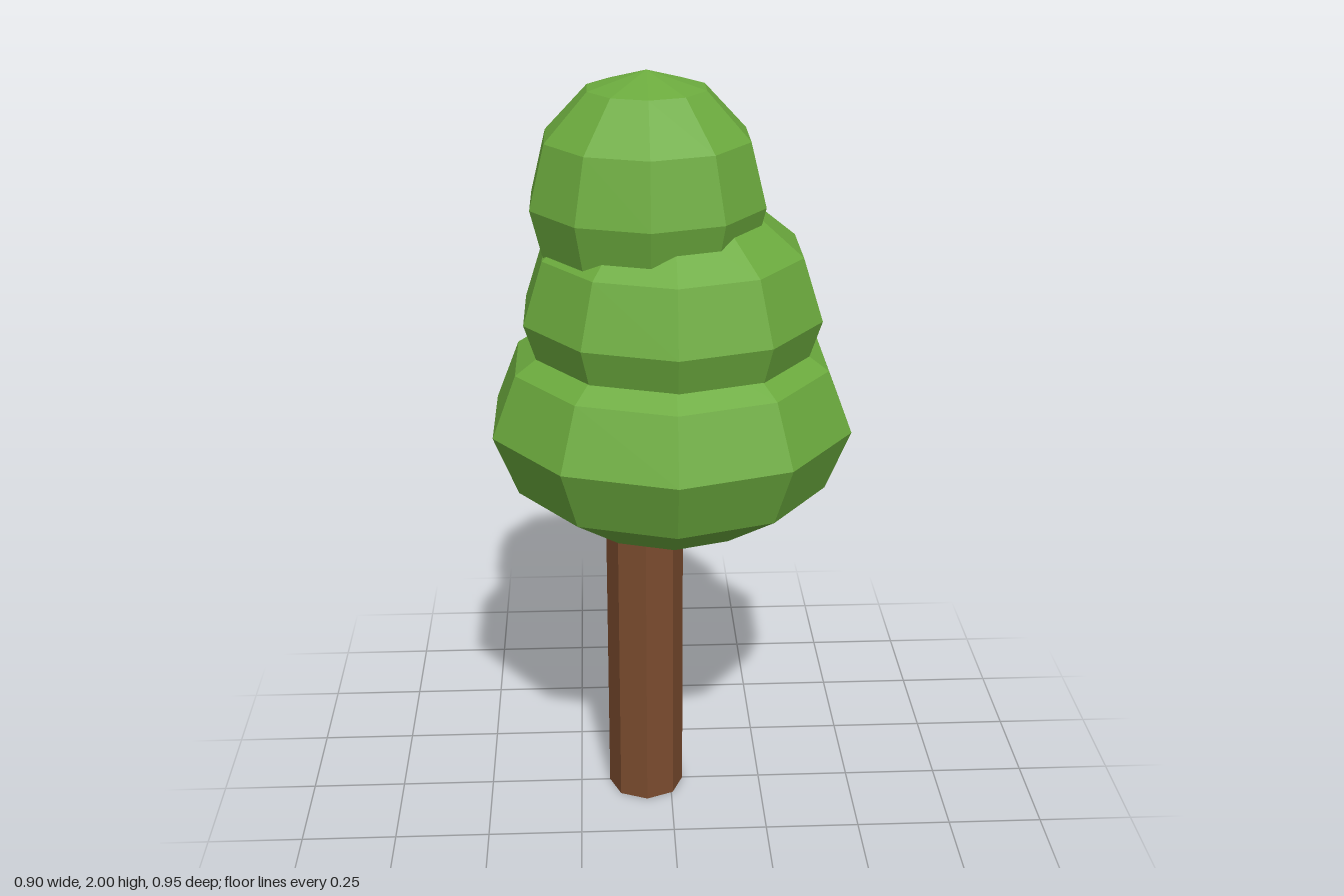
import * as THREE from 'three';

export function createModel() {
  const tree = new THREE.Group();
  tree.name = 'tree';
  const bark = new THREE.MeshStandardMaterial({ color: 0x7a4b2e, flatShading: true });
  const leaf = new THREE.MeshStandardMaterial({ color: 0x6cab3e, flatShading: true });

  // Eight-sided trunk, its top buried in the lowest foliage
  const trunk = new THREE.Mesh(new THREE.CylinderGeometry(0.102, 0.102, 1, 8), bark);
  trunk.name = 'trunk';
  trunk.position.set(-0.068, 0.5, 0);
  tree.add(trunk);

  // Three stacked, faceted foliage balls: name, x, y, radius, half height
  const layers = [
    ['lowerFoliage', 0, 1.113, 0.474, 0.318],
    ['middleFoliage', 0.003, 1.4, 0.388, 0.318],
    ['upperFoliage', -0.057, 1.682, 0.301, 0.318],
  ];
  for (const [name, x, y, radius, halfHeight] of layers) {
    const geometry = new THREE.SphereGeometry(1, 10, 6);
    geometry.rotateY(Math.PI / 10); // a corner faces front and back
    geometry.scale(radius, halfHeight, radius);
    const ball = new THREE.Mesh(geometry, leaf);
    ball.name = name;
    ball.position.set(x, y, 0);
    tree.add(ball);
  }
  return tree;
}
